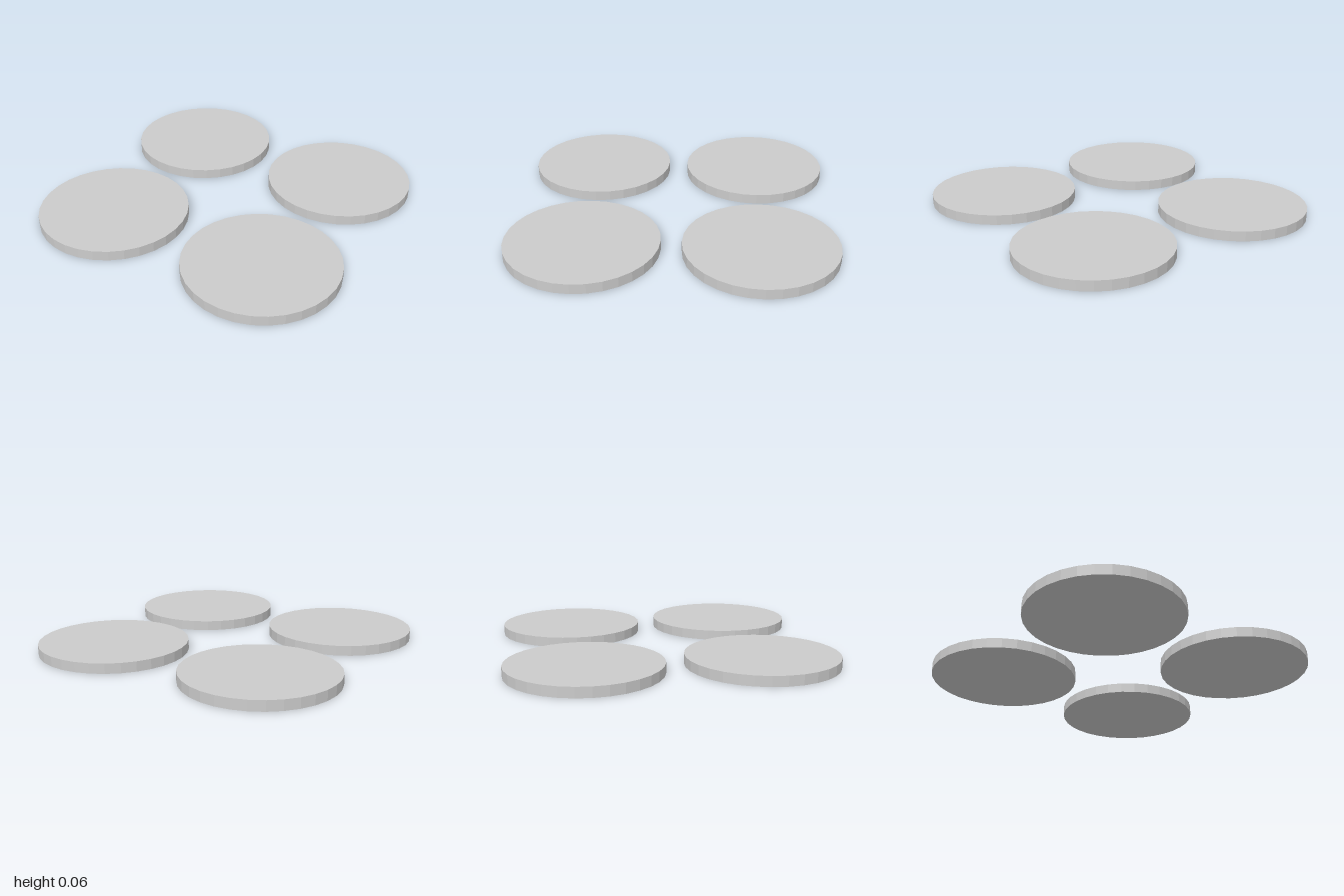
import * as THREE from 'three';

const RADIUS = 0.469;
const HEIGHT = 0.0625;
const OFFSET = 0.531;

export function createModel() {
  const group = new THREE.Group();
  group.name = 'discSet';
  const material = new THREE.MeshStandardMaterial({ color: 0xcccccc, flatShading: true });

  // One flat 32-sided disc, resting on the ground
  const discGeometry = new THREE.CylinderGeometry(RADIUS, RADIUS, HEIGHT, 32);
  discGeometry.translate(0, HEIGHT / 2, 0);

  // Four discs in a two by two layout
  for (const [zName, z] of [['front', 1], ['back', -1]]) {
    for (const [xName, x] of [['Left', 1], ['Right', -1]]) {
      const disc = new THREE.Mesh(discGeometry, material);
      disc.name = `${zName}${xName}Disc`;
      disc.position.set(x * OFFSET, 0, z * OFFSET);
      group.add(disc);
    }
  }
  return group;
}
